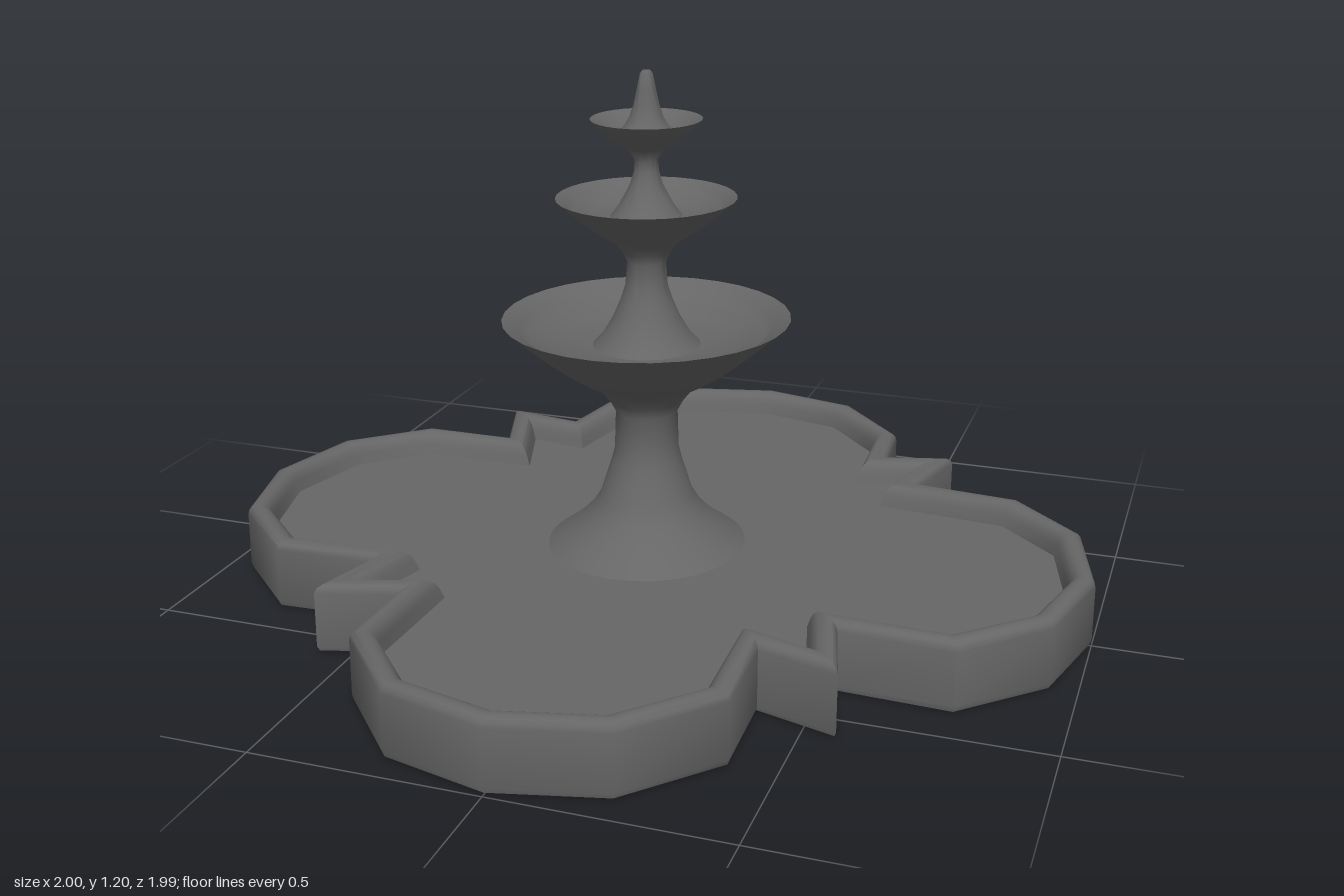
import * as THREE from 'three';
import { toCreasedNormals } from 'three/addons/utils/BufferGeometryUtils.js';

const stone = new THREE.MeshStandardMaterial({ color: 0x666666, side: THREE.DoubleSide });

// Quatrefoil plan of the pool as [x, z], with a pointed corner between lobes
const outline = [
  [1, 0], [0.942, 0.235], [0.772, 0.402], [0.525, 0.39], [0.572, 0.577], [0.395, 0.525],
  [0.403, 0.747], [0.237, 0.935], [0, 0.995], [-0.237, 0.935], [-0.403, 0.747], [-0.398, 0.525],
  [-0.577, 0.577], [-0.53, 0.392], [-0.767, 0.402], [-0.94, 0.235], [-1, 0], [-0.94, -0.245],
  [-0.767, -0.407], [-0.55, -0.407], [-0.617, -0.612], [-0.433, -0.582], [-0.403, -0.753],
  [-0.237, -0.938], [0, -0.995], [0.237, -0.938], [0.403, -0.753], [0.412, -0.587],
  [0.572, -0.632], [0.52, -0.432], [0.772, -0.407], [0.94, -0.245],
].map(([x, z]) => new THREE.Vector2(x, z));

// Moves the outline inwards by a constant distance with mitred corners
function inset(points, distance) {
  const n = points.length;
  const inward = (a, b) => {
    const d = b.clone().sub(a).normalize();
    return new THREE.Vector2(-d.y, d.x);
  };
  return points.map((p, i) => {
    const n1 = inward(points[(i + n - 1) % n], p);
    const n2 = inward(p, points[(i + 1) % n]);
    return n1.clone().add(n2).multiplyScalar(distance / (1 + n1.dot(n2))).add(p);
  });
}

function createBasin() {
  // Wall section as [inset, height]: underside, outer wall, rounded rim, inner wall
  const section = [
    [0.03, 0.003], [0.012, 0.003], [0.003, 0.007], [0, 0.018], [0, 0.142], [0.003, 0.153],
    [0.01, 0.16], [0.02, 0.163], [0.032, 0.163], [0.042, 0.158], [0.05, 0.148], [0.055, 0.135],
    [0.062, 0.11],
  ];
  const n = outline.length;
  const positions = [], index = [];
  const rings = section.map(([d, y]) => {
    const ring = inset(outline, d);
    ring.forEach(p => positions.push(p.x, y, p.y));
    return ring;
  });
  for (let j = 0; j < rings.length - 1; j++) {
    for (let i = 0; i < n; i++) {
      const k = (i + 1) % n;
      const a = j * n + i, b = j * n + k, c = a + n, d = b + n;
      index.push(a, c, b, b, c, d);
    }
  }
  // Underside and pool floor
  const cap = (ringNo, faceUp) => {
    const ring = rings[ringNo];
    for (const [a, b, c] of THREE.ShapeUtils.triangulateShape(ring, [])) {
      const cross = ring[b].clone().sub(ring[a]).cross(ring[c].clone().sub(ring[a]));
      const tri = (cross < 0) === faceUp ? [a, b, c] : [a, c, b];
      index.push(...tri.map(v => v + ringNo * n));
    }
  };
  cap(0, false);
  cap(rings.length - 1, true);

  const geometry = new THREE.BufferGeometry();
  geometry.setAttribute('position', new THREE.Float32BufferAttribute(positions, 3));
  geometry.setIndex(index);
  const mesh = new THREE.Mesh(toCreasedNormals(geometry, 0.85), stone);
  mesh.name = 'poolBasin';
  return mesh;
}

// Each tier: flared pedestal, bowl outside, rim, then bowl inside, as [radius, height]
const tiers = {
  lowerTier: [
    [0.243, 0.108], [0.205, 0.134], [0.165, 0.165], [0.135, 0.195], [0.112, 0.23], [0.085, 0.31],
    [0.077, 0.34], [0.074, 0.43], [0.09, 0.458], [0.115, 0.488], [0.165, 0.515], [0.225, 0.555],
    [0.285, 0.602], [0.342, 0.65], [0.3, 0.63], [0.28, 0.613], [0.245, 0.61], [0.22, 0.594],
    [0.125, 0.587],
  ],
  middleTier: [
    [0.13, 0.585], [0.105, 0.61], [0.08, 0.65], [0.062, 0.69], [0.05, 0.725], [0.046, 0.78],
    [0.056, 0.802], [0.075, 0.825], [0.115, 0.85], [0.165, 0.885], [0.212, 0.925],
    [0.185, 0.911], [0.172, 0.9], [0.15, 0.898], [0.135, 0.887], [0.08, 0.883],
  ],
  upperTier: [
    [0.085, 0.882], [0.07, 0.9], [0.053, 0.927], [0.038, 0.955], [0.029, 0.985], [0.028, 1.01],
    [0.045, 1.035], [0.075, 1.052], [0.105, 1.075], [0.13, 1.1], [0.105, 1.088],
    [0.08, 1.075], [0.05, 1.071],
  ],
  finial: [
    [0.065, 1.07], [0.052, 1.083], [0.04, 1.102], [0.03, 1.13], [0.022, 1.165], [0.015, 1.198],
    [0.01, 1.205], [0, 1.206],
  ],
};

export function createModel() {
  const model = new THREE.Group();
  model.name = 'fountain';
  model.add(createBasin());

  // The column is slightly oval and stands a little off centre
  const column = new THREE.Group();
  column.name = 'tieredColumn';
  column.position.set(-0.026, 0, -0.005);
  column.scale.x = 0.945;
  for (const [name, profile] of Object.entries(tiers)) {
    const points = profile.map(([r, y]) => new THREE.Vector2(r, y));
    const geometry = toCreasedNormals(new THREE.LatheGeometry(points, 32), 0.7);
    const mesh = new THREE.Mesh(geometry, stone);
    mesh.name = name;
    column.add(mesh);
  }
  model.add(column);
  return model;
}
